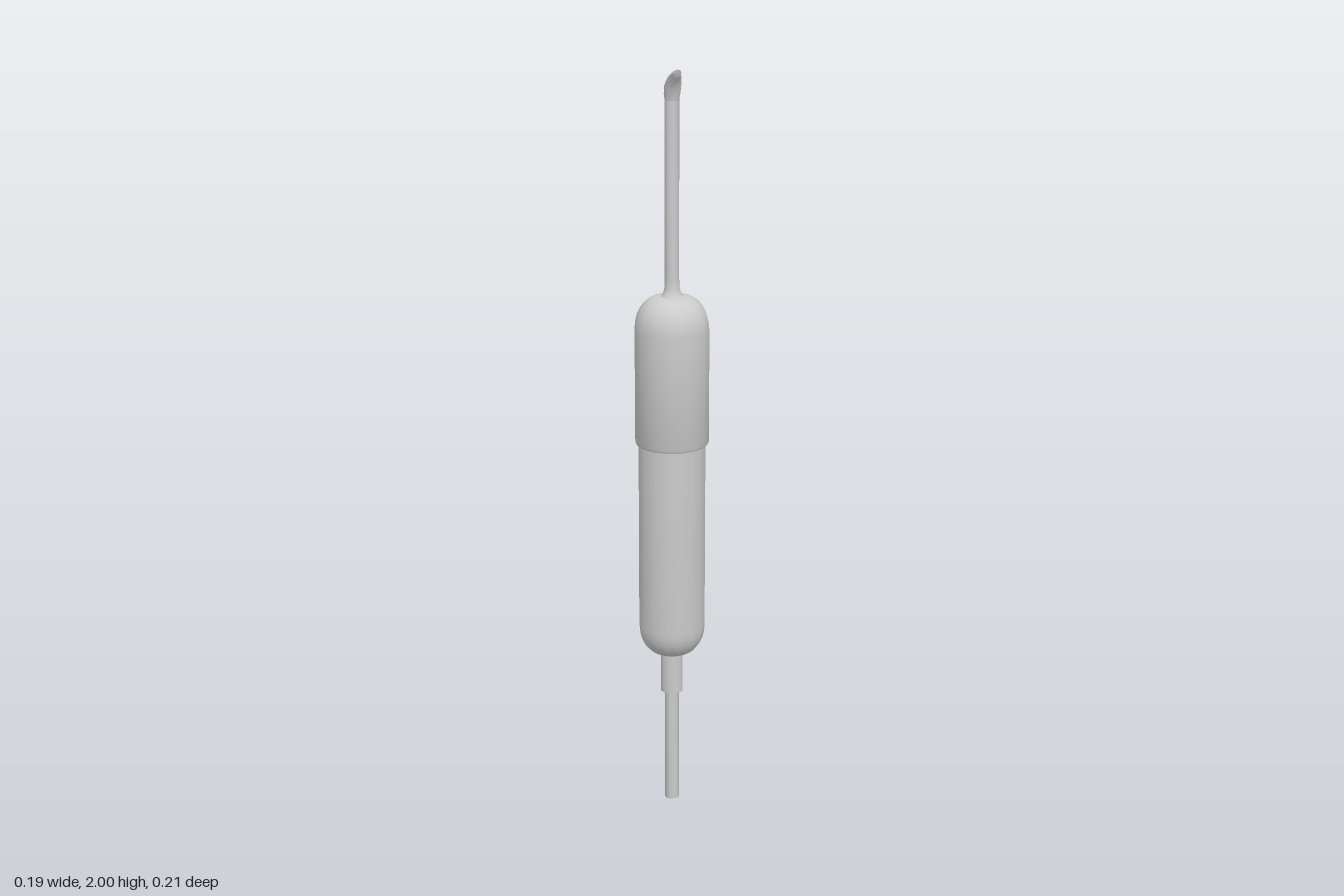
import * as THREE from 'three';
import { toCreasedNormals, mergeVertices } from 'three/addons/utils/BufferGeometryUtils.js';

const AXIS_Z = 0.004; // the round body sits slightly forward, balancing the switch
const material = new THREE.MeshStandardMaterial({ color: 0xcccccc });

function addMesh(parent, name, geometry, crease = 0.7) {
  const mesh = new THREE.Mesh(toCreasedNormals(geometry, crease), material);
  mesh.name = name;
  parent.add(mesh);
  return mesh;
}

// Turned part from [radius, y] pairs, listed bottom to top
function turned(points, sides) {
  return new THREE.LatheGeometry(points.map(([r, y]) => new THREE.Vector2(r, y)), sides);
}

// Quarter-ellipse dome from the wall (t = 0) to the neck (t = 1)
function dome(wall, neck, yWall, yNeck, steps = 7) {
  return Array.from({ length: steps + 1 }, (_, i) => {
    const a = (i / steps) * Math.PI / 2;
    return [neck + (wall - neck) * Math.cos(a), yWall + (yNeck - yWall) * Math.sin(a)];
  });
}

// Bent, tapering tip: each section runs from a back point to a front point
function tipGeometry(sections, sides) {
  const pos = [], index = [];
  for (const [zb, yb, zf, yf, rx] of sections) {
    for (let i = 0; i < sides; i++) {
      const a = (i / sides) * Math.PI * 2, t = (1 + Math.cos(a)) / 2;
      pos.push(rx * Math.sin(a), yb + (yf - yb) * t, zb + (zf - zb) * t);
    }
  }
  for (let s = 0; s < sections.length - 1; s++) {
    for (let i = 0; i < sides; i++) {
      const j = (i + 1) % sides, a = s * sides, b = a + sides;
      index.push(a + i, a + j, b + j, a + i, b + j, b + i);
    }
  }
  const last = (sections.length - 1) * sides;
  for (let i = 1; i < sides - 1; i++) index.push(last, last + i, last + i + 1);
  const g = new THREE.BufferGeometry();
  g.setAttribute('position', new THREE.Float32BufferAttribute(pos, 3));
  g.setIndex(index);
  return g;
}

// Slab whose back face is arched in x to follow the round body
function archedSlab(x0, x1, y0, y1, depth) {
  const g = new THREE.BoxGeometry(x1 - x0, y1 - y0, 0.03, 2, 1, 1);
  const p = g.attributes.position;
  for (let i = 0; i < p.count; i++) {
    const x = p.getX(i) + (x0 + x1) / 2;
    const outer = p.getZ(i) < 0;
    p.setXYZ(i, x, p.getY(i) + (y0 + y1) / 2, (outer ? -depth : -0.08) + Math.abs(x) * 0.15);
  }
  return g;
}

export function createModel() {
  const model = new THREE.Group();
  model.name = 'probeTool';

  const shell = new THREE.Group();
  shell.name = 'turnedBody';
  shell.position.z = AXIS_Z;
  model.add(shell);

  // Cable and its strain relief
  addMesh(shell, 'cable', turned([[0, 0], [0.019, 0], [0.019, 0.34]], 10));
  addMesh(shell, 'strainRelief', turned([[0, 0.318], [0.03, 0.318], [0.03, 0.44]], 12));

  // Lower grip, rounded at the bottom
  const lowerDome = dome(0.088, 0.03, 0.51, 0.43).reverse();
  addMesh(shell, 'lowerGrip', turned([[0, 0.43], ...lowerDome, [0.088, 1.03]], 16));

  // Upper housing, slightly wider, rounded at the top
  const upperDome = dome(0.097, 0.033, 1.325, 1.413);
  addMesh(shell, 'upperHousing',
    turned([[0.086, 1.018], [0.093, 1.018], [0.097, 1.027], ...upperDome, [0, 1.416]], 16));

  // Shaft with a flared foot
  addMesh(shell, 'shaft',
    turned([[0.033, 1.41], [0.025, 1.419], [0.02, 1.435], [0.019, 1.46], [0.019, 1.92]], 8), 1);

  // Forward-bent tip: [back z, back y, front z, front y, half width]
  const tip = tipGeometry([
    [-0.019, 1.92, 0.019, 1.915, 0.019],
    [-0.018, 1.938, 0.021, 1.926, 0.0215],
    [-0.008, 1.964, 0.026, 1.945, 0.022],
    [0.012, 1.982, 0.035, 1.962, 0.018],
    [0.032, 1.992, 0.046, 1.975, 0.0135],
    [0.056, 2.0, 0.052, 1.984, 0.01],
  ], 8);
  addMesh(shell, 'tip', mergeVertices(tip), 0.9);

  // Switch on the back: a four-sided frame around a rocker
  const rocker = new THREE.Group();
  rocker.name = 'switch';
  model.add(rocker);
  const w = 0.033, rim = 0.005, yLow = 1.08, yHigh = 1.205;
  for (const side of [-1, 1]) {
    const [a, b] = side < 0 ? [-w, -w + rim] : [w - rim, w];
    addMesh(rocker, 'switchFrameSide', archedSlab(a, b, yLow, yHigh, 0.101));
  }
  addMesh(rocker, 'switchFrameBottom', archedSlab(-w + rim, w - rim, yLow, yLow + rim, 0.101));
  addMesh(rocker, 'switchFrameTop', archedSlab(-w + rim, w - rim, yHigh - rim, yHigh, 0.101));

  // Rocker key: side outline in (-z, y), extruded across x
  const outline = new THREE.Shape([
    [0.08, 1.088], [0.094, 1.088], [0.1, 1.097], [0.097, 1.142],
    [0.104, 1.152], [0.104, 1.185], [0.094, 1.197], [0.08, 1.197],
  ].map(([d, y]) => new THREE.Vector2(d, y)));
  const key = new THREE.ExtrudeGeometry(outline, { depth: 0.05, bevelEnabled: false });
  key.translate(0, 0, -0.025);
  key.rotateY(Math.PI / 2);
  addMesh(rocker, 'switchKey', key, 0.4);

  return model;
}
